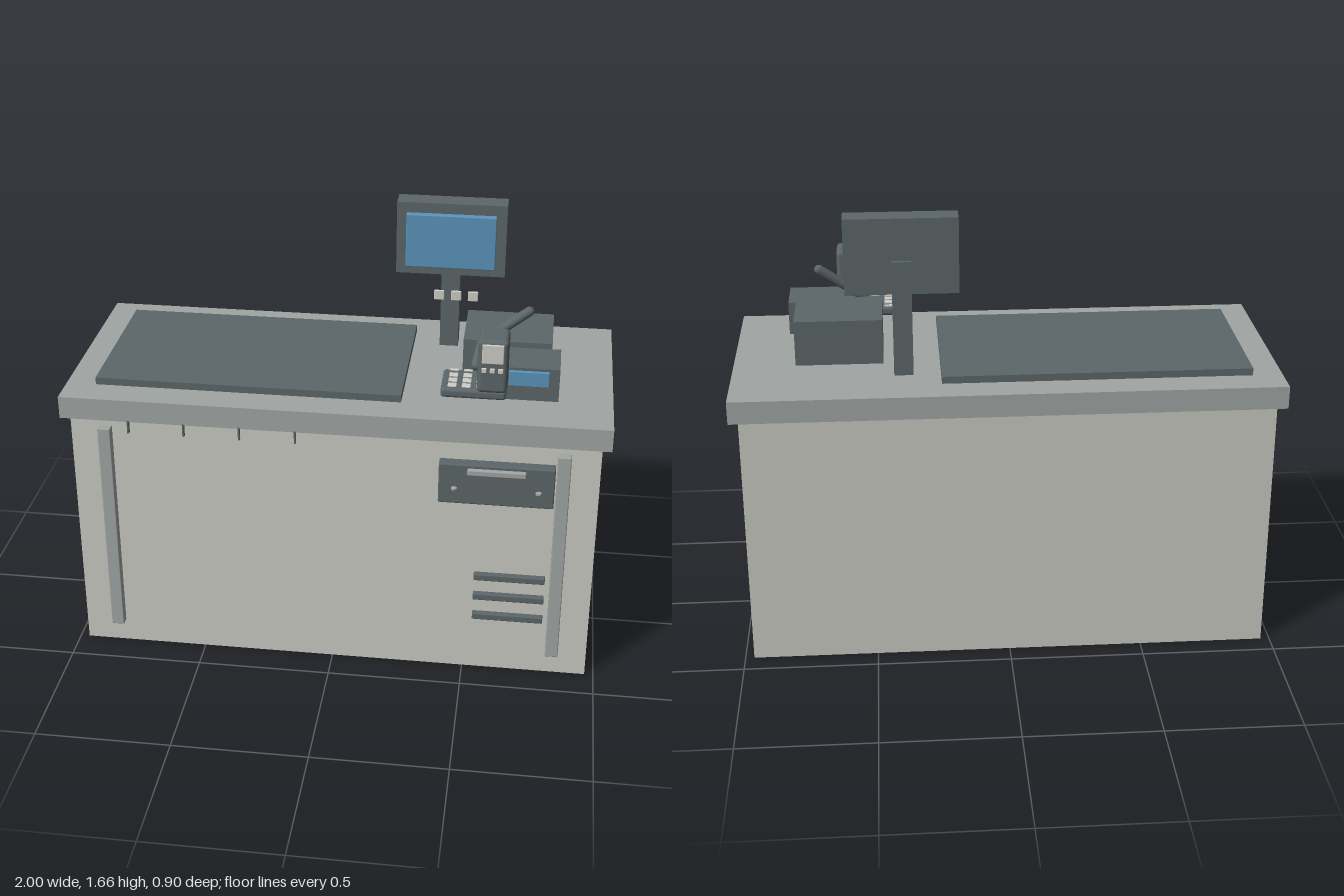
import * as THREE from 'three';
import { RoundedBoxGeometry } from 'three/addons/geometries/RoundedBoxGeometry.js';

const mat = (name, color) => Object.assign(new THREE.MeshStandardMaterial({ color }), { name });

export function createModel() {
  const model = new THREE.Group();
  model.name = 'checkoutCounter';
  const cream = mat('cream panel', 0xc9cac2);
  const grey = mat('grey trim', 0xa0a5a3);
  const dark = mat('dark slate', 0x5c6668);
  const blue = mat('screen blue', 0x5c93bc);
  const pale = mat('pale keys', 0xcfcdc6);

  const add = (name, geometry, material, parent = model) => {
    const mesh = new THREE.Mesh(geometry, material);
    mesh.name = name;
    parent.add(mesh);
    return mesh;
  };
  // Box given by its extents; a radius rounds its edges
  const box = (name, material, [x0, x1], [y0, y1], [z0, z1], radius = 0, parent = model) => {
    const size = [x1 - x0, y1 - y0, z1 - z0];
    const geometry = radius
      ? new RoundedBoxGeometry(...size, 3, radius)
      : new THREE.BoxGeometry(...size);
    const mesh = add(name, geometry, material, parent);
    mesh.position.set((x0 + x1) / 2, (y0 + y1) / 2, (z0 + z1) / 2);
    return mesh;
  };
  // Round-ended bar between two points
  const bar = (name, material, from, to, radius, parent = model) => {
    const a = new THREE.Vector3(...from);
    const d = new THREE.Vector3(...to).sub(a);
    const mesh = add(name, new THREE.CapsuleGeometry(radius, d.length(), 6, 14), material, parent);
    mesh.position.copy(a).addScaledVector(d, 0.5);
    mesh.quaternion.setFromUnitVectors(new THREE.Vector3(0, 1, 0), d.normalize());
    return mesh;
  };
  const group = (name) => {
    const g = new THREE.Group();
    g.name = name;
    model.add(g);
    return g;
  };

  // Counter
  box('counterBody', cream, [-0.967, 0.967], [0, 0.98], [-0.423, 0.38]);
  box('counterTop', grey, [-1, 1], [0.98, 1.065], [-0.453, 0.405]);
  box('counterMat', dark, [-0.89, 0.24], [1.065, 1.092], [-0.337, 0.285]);

  // Front trim
  for (const side of [-1, 1]) {
    box('frontPost', grey, [side * 0.837 - 0.024, side * 0.837 + 0.024], [0.09, 0.948], [0.375, 0.412], 0.004);
  }
  for (const y of [0.415, 0.329, 0.242]) {
    box('ventSlat', dark, [0.532, 0.795], [y - 0.013, y + 0.013], [0.375, 0.402], 0.004);
  }
  for (const x of [-0.745, -0.54, -0.335, -0.13]) {
    box('bagHook', dark, [x - 0.003, x + 0.003], [0.935, 0.985], [0.395, 0.41]);
  }

  // Cash drawer
  const drawer = group('cashDrawer');
  box('drawerFront', dark, [0.392, 0.808], [0.74, 0.9], [0.375, 0.422], 0.005, drawer);
  box('drawerHandle', grey, [0.495, 0.705], [0.864, 0.888], [0.418, 0.437], 0.005, drawer);
  for (const x of [0.45, 0.752]) {
    add('drawerKnob', new THREE.CylinderGeometry(0.011, 0.011, 0.006, 16), grey, drawer)
      .position.set(x, 0.812, 0.44);
  }

  // Monitor on its pole
  const monitor = group('monitor');
  box('monitorPole', dark, [0.34, 0.41], [1.075, 1.505], [-0.272, -0.2], 0, monitor);
  box('monitorCase', dark, [0.17, 0.578], [1.38, 1.66], [-0.257, -0.173], 0, monitor);
  box('monitorScreen', blue, [0.207, 0.541], [1.415, 1.622], [-0.173, -0.147], 0.004, monitor);

  // Floating touch icons
  for (const x of [0.362, 0.422, 0.481]) {
    box('touchIcon', pale, [x - 0.018, x + 0.018], [1.447, 1.483], [0.213, 0.222], 0.003);
  }

  // Receipt printer and card display
  box('printerBody', dark, [0.448, 0.77], [1.077, 1.247], [-0.158, 0.108]);
  const display = group('cardDisplay');
  box('displayCase', dark, [0.592, 0.802], [1.1, 1.226], [0.106, 0.277], 0, display);
  box('displayScreen', blue, [0.622, 0.766], [1.158, 1.216], [0.275, 0.288], 0.003, display);

  // Keypad
  const keypad = group('keypad');
  box('keypadBase', dark, [0.385, 0.617], [1.132, 1.168], [0.192, 0.36], 0.012, keypad);
  for (let c = 0; c < 4; c++) {
    for (let r = 0; r < 4; r++) {
      const x = 0.425 + c * 0.05, z = 0.205 + r * 0.041;
      box('key', pale, [x - 0.016, x + 0.016], [1.164, 1.173],
        [z - (r ? 0.014 : 0.006), z + (r ? 0.014 : 0.006)], 0.003, keypad);
    }
  }

  // Hand scanner with its bent arm
  const scanner = group('scanner');
  box('scannerHead', dark, [0.513, 0.62], [1.17, 1.372], [0.26, 0.384], 0.016, scanner);
  box('scannerWindow', pale, [0.528, 0.604], [1.288, 1.36], [0.382, 0.391], 0.003, scanner);
  for (const x of [0.537, 0.566, 0.595]) {
    box('scannerButton', pale, [x - 0.009, x + 0.009], [1.252, 1.27], [0.382, 0.391], 0.003, scanner);
  }
  bar('scannerArm', dark, [0.68, 1.362, 0.087], [0.515, 1.242, 0.113], 0.018, scanner);
  bar('scannerNeck', dark, [0.515, 1.242, 0.113], [0.5, 1.18, 0.18], 0.018, scanner);

  return model;
}
